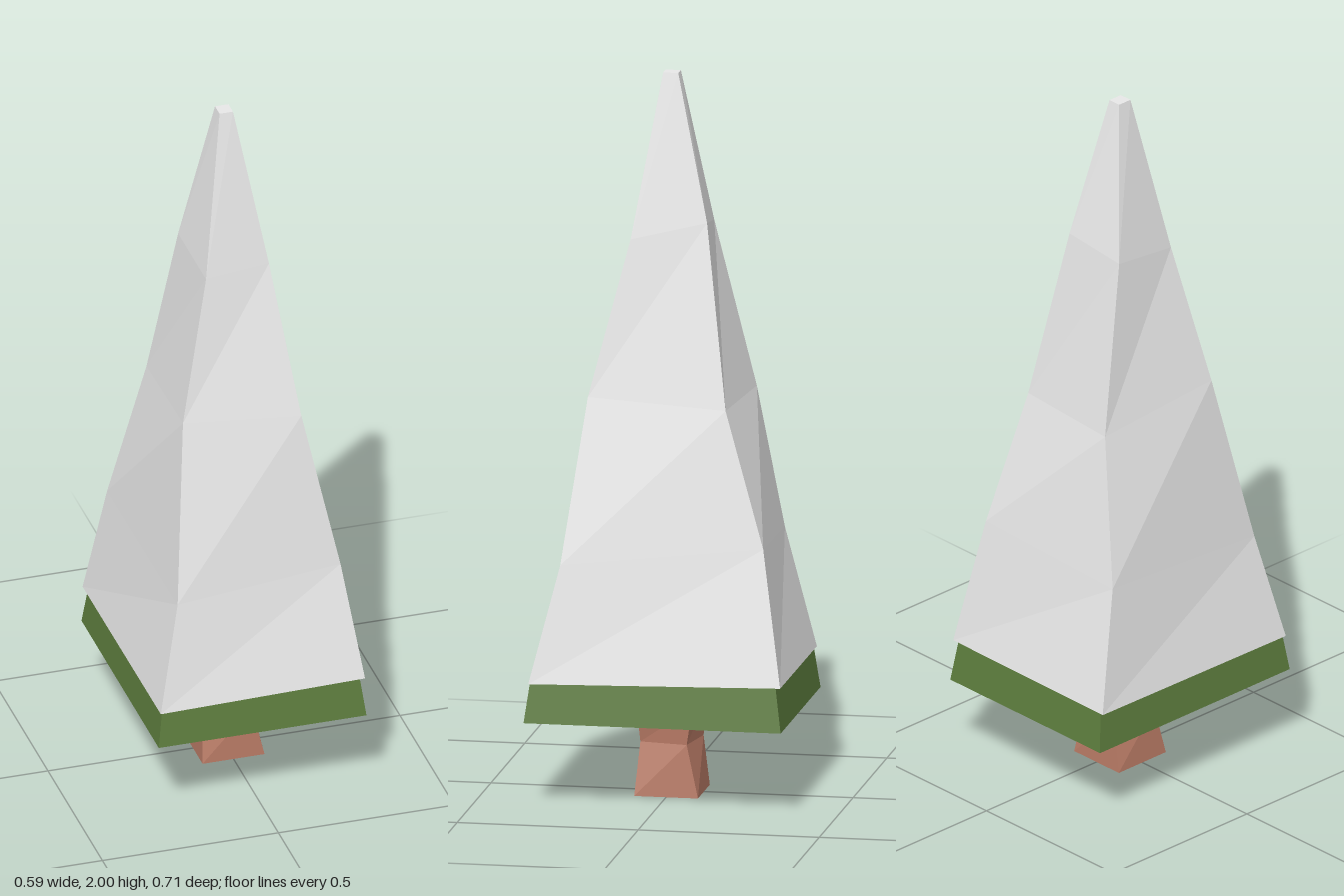
import * as THREE from 'three';

// Skin four-cornered rings (bottom to top) into a closed faceted solid.
// Corner order: front right, front left, back left, back right (the model's own sides).
function loft(rings) {
  const pos = [];
  const quad = (a, b, c, d) => pos.push(...a, ...b, ...c, ...a, ...c, ...d);
  for (let r = 0; r < rings.length - 1; r++) {
    for (let i = 0; i < 4; i++) {
      const j = (i + 1) % 4;
      quad(rings[r][i], rings[r][j], rings[r + 1][j], rings[r + 1][i]);
    }
  }
  quad(...rings[rings.length - 1]);
  quad(...[...rings[0]].reverse());
  const geometry = new THREE.BufferGeometry();
  geometry.setAttribute('position', new THREE.Float32BufferAttribute(pos, 3));
  geometry.computeVertexNormals();
  return geometry;
}

// Level rectangular ring
const rect = (x, z, y) => [[-x, y, z], [x, y, z], [x, y, -z], [-x, y, -z]];

// Level square ring with its corners pushed round the centre
const twisted = (a, b, y) => [[-a, y, b], [b, y, a], [a, y, -b], [-b, y, -a]];

export function createModel() {
  const material = (name, color) => {
    const m = new THREE.MeshStandardMaterial({ color, flatShading: true });
    m.name = name;
    return m;
  };
  const snow = material('snow white', 0xf4f4f4);
  const leaf = material('leaf green', 0x5d7d3e);
  const bark = material('bark brown', 0xb87a65);

  const tree = new THREE.Group();
  tree.name = 'snowyTree';
  const add = (name, geometry, mat) => {
    const mesh = new THREE.Mesh(geometry, mat);
    mesh.name = name;
    tree.add(mesh);
  };

  // Trunk pinched and twisted at the middle
  add('trunk', loft([
    rect(0.088, 0.088, 0),
    twisted(0.077, 0.055, 0.145),
    twisted(0.085, 0.072, 0.25),
  ]), bark);

  // Green skirt of foliage under the snow
  add('foliage', loft([
    rect(0.295, 0.355, 0.237),
    rect(0.279, 0.338, 0.36),
  ]), leaf);

  // Tall uneven snow cover
  add('snowCover', loft([
    [[-0.287, 0.338, 0.348], [0.295, 0.346, 0.342], [0.287, 0.36, -0.352], [-0.295, 0.35, -0.345]],
    [[-0.222, 0.64, 0.292], [0.25, 0.67, 0.262], [0.22, 0.73, -0.293], [-0.25, 0.69, -0.265]],
    [[-0.172, 1.14, 0.179], [0.157, 1.12, 0.203], [0.172, 1.1, -0.18], [-0.157, 1.1, -0.205]],
    [[-0.085, 1.54, 0.11], [0.098, 1.55, 0.096], [0.081, 1.6, -0.112], [-0.1, 1.57, -0.098]],
    rect(0.019, 0.021, 2),
  ]), snow);

  return tree;
}
